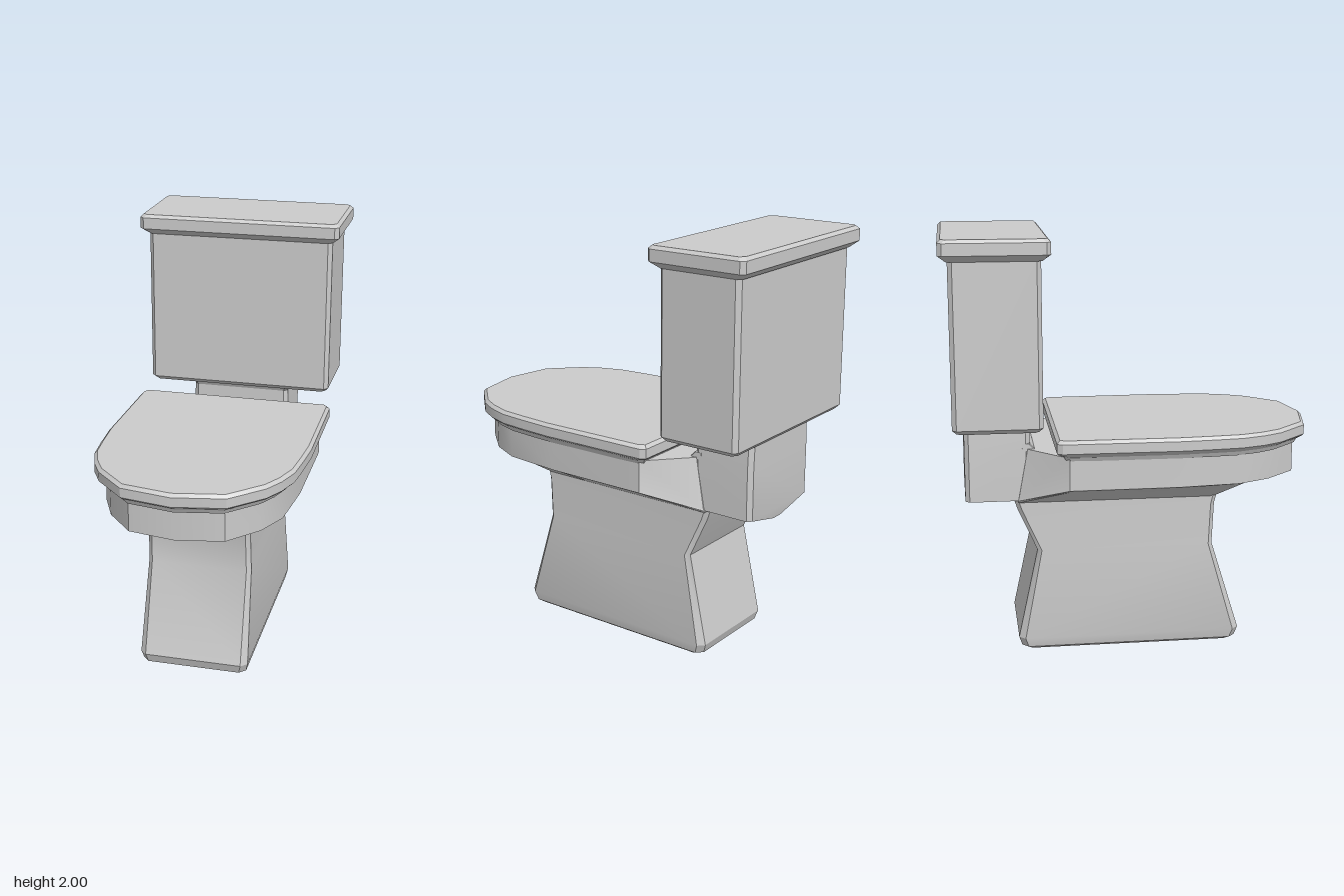
import * as THREE from 'three';
import { toCreasedNormals } from 'three/addons/utils/BufferGeometryUtils.js';

const material = new THREE.MeshStandardMaterial({ color: 0xcccccc });

// Half outline [x, z, y?] from front to back, mirrored into a closed ring at height y
function ring(y, half) {
  const right = half.map(([x, z, h = y]) => new THREE.Vector3(x, h, z));
  const left = right.filter(p => p.x > 0).reverse().map(p => new THREE.Vector3(-p.x, p.y, p.z));
  return [...right, ...left];
}

// Rectangular ring with chamfered corners
const rect = (y, w, front, back, c = 0.02) =>
  ring(y, [[w - c, front], [w, front - c], [w, back + c], [w - c, back]]);

// Skin a stack of rings, bottom to top, and cap both ends
function loft(name, rings, crease = 0.5) {
  const pos = [];
  const tri = (...pts) => pts.forEach(p => pos.push(p.x, p.y, p.z));
  const n = rings[0].length;
  for (let r = 0; r < rings.length - 1; r++) {
    const a = rings[r], b = rings[r + 1];
    for (let i = 0; i < n; i++) {
      const j = (i + 1) % n;
      if (a[i].x + a[j].x >= 0) {
        tri(a[i], a[j], b[i]);
        tri(a[j], b[j], b[i]);
      } else {
        tri(a[i], a[j], b[j]);
        tri(a[i], b[j], b[i]);
      }
    }
  }
  const centre = pts => pts.reduce((s, p) => s.add(p), new THREE.Vector3()).divideScalar(n);
  const low = rings[0], high = rings[rings.length - 1];
  const c0 = centre(low), c1 = centre(high);
  for (let i = 0; i < n; i++) {
    const j = (i + 1) % n;
    tri(c0, low[j], low[i]);
    tri(c1, high[i], high[j]);
  }
  const geometry = new THREE.BufferGeometry();
  geometry.setAttribute('position', new THREE.Float32BufferAttribute(pos, 3));
  const mesh = new THREE.Mesh(toCreasedNormals(geometry, crease), material);
  mesh.name = name;
  return mesh;
}

export function createModel() {
  const group = new THREE.Group();
  group.name = 'toilet';

  // Waisted foot
  group.add(loft('pedestal', [
    rect(0, 0.235, 0.49, -0.51, 0.03),
    rect(0.015, 0.255, 0.515, -0.53, 0.03),
    rect(0.06, 0.265, 0.53, -0.545, 0.03),
    rect(0.5, 0.252, 0.395, -0.45),
    rect(0.7, 0.248, 0.405, -0.54),
    rect(0.76, 0.248, 0.42, -0.56),
  ]));

  // Bowl: flared underside, upright wall, tapered back
  const rim = [[0, 0.825], [0.22, 0.785], [0.35, 0.64], [0.42, 0.49], [0.447, 0.2], [0.447, -0.31]];
  const under = [[0, 0.68], [0.19, 0.67], [0.32, 0.57], [0.39, 0.44], [0.42, 0.2], [0.425, -0.31]];
  const throat = [[0, 0.42], [0.19, 0.42], [0.235, 0.41], [0.25, 0.38], [0.25, 0.15], [0.25, -0.35]];
  group.add(loft('bowl', [
    ring(0.74, [...throat, [0.25, -0.54]]),
    ring(0.833, [...under, [0.255, -0.54, 0.75]]),
    ring(0.845, [...rim, [0.255, -0.535, 0.76]]),
    ring(1.0, [...rim, [0.25, -0.49]]),
  ], 0.4));

  // Neck carrying the tank, with a keeled bottom
  group.add(loft('neck', [
    rect(0.7, 0.05, -0.5, -0.775),
    rect(0.75, 0.25, -0.48, -0.785),
    rect(1.0, 0.25, -0.478, -0.785),
    rect(1.1, 0.245, -0.48, -0.785),
    rect(1.12, 0.255, -0.47, -0.795),
    rect(1.14, 0.275, -0.455, -0.81),
  ], 0.4));

  // Small fillet where the bowl's back ledge meets the neck
  group.add(loft('ledgeFillet', [
    rect(0.99, 0.25, -0.45, -0.52, 0.005),
    rect(1.005, 0.25, -0.46, -0.52, 0.005),
    rect(1.025, 0.25, -0.478, -0.52, 0.005),
  ]));

  // Closed seat cover, each ring inset from the same outline
  const outline = [[0, 0.88], [0.24, 0.835], [0.385, 0.69], [0.435, 0.6], [0.472, 0.49],
    [0.485, 0.36], [0.496, 0.2], [0.49, -0.345], [0.473, -0.37]];
  const seatRing = (y, d) => ring(y, outline.map(([x, z]) =>
    [x * (1 - d / 0.5), 0.255 + (z - 0.255) * (1 - d / 0.625)]));
  group.add(loft('seatCover', [
    seatRing(0.985, 0.045), seatRing(1.005, 0.035), seatRing(1.02, 0.01),
    seatRing(1.03, 0), seatRing(1.075, 0), seatRing(1.09, 0.015),
  ]));

  // Tank and its overhanging lid
  group.add(loft('tank', [
    rect(1.125, 0.445, -0.445, -0.82),
    rect(1.145, 0.463, -0.427, -0.838),
    rect(1.91, 0.463, -0.427, -0.838),
  ]));
  group.add(loft('tankLid', [
    rect(1.9, 0.465, -0.42, -0.845),
    rect(1.93, 0.5, -0.385, -0.88),
    rect(1.985, 0.5, -0.385, -0.88),
    rect(2.0, 0.485, -0.4, -0.865),
  ]));

  return group;
}
